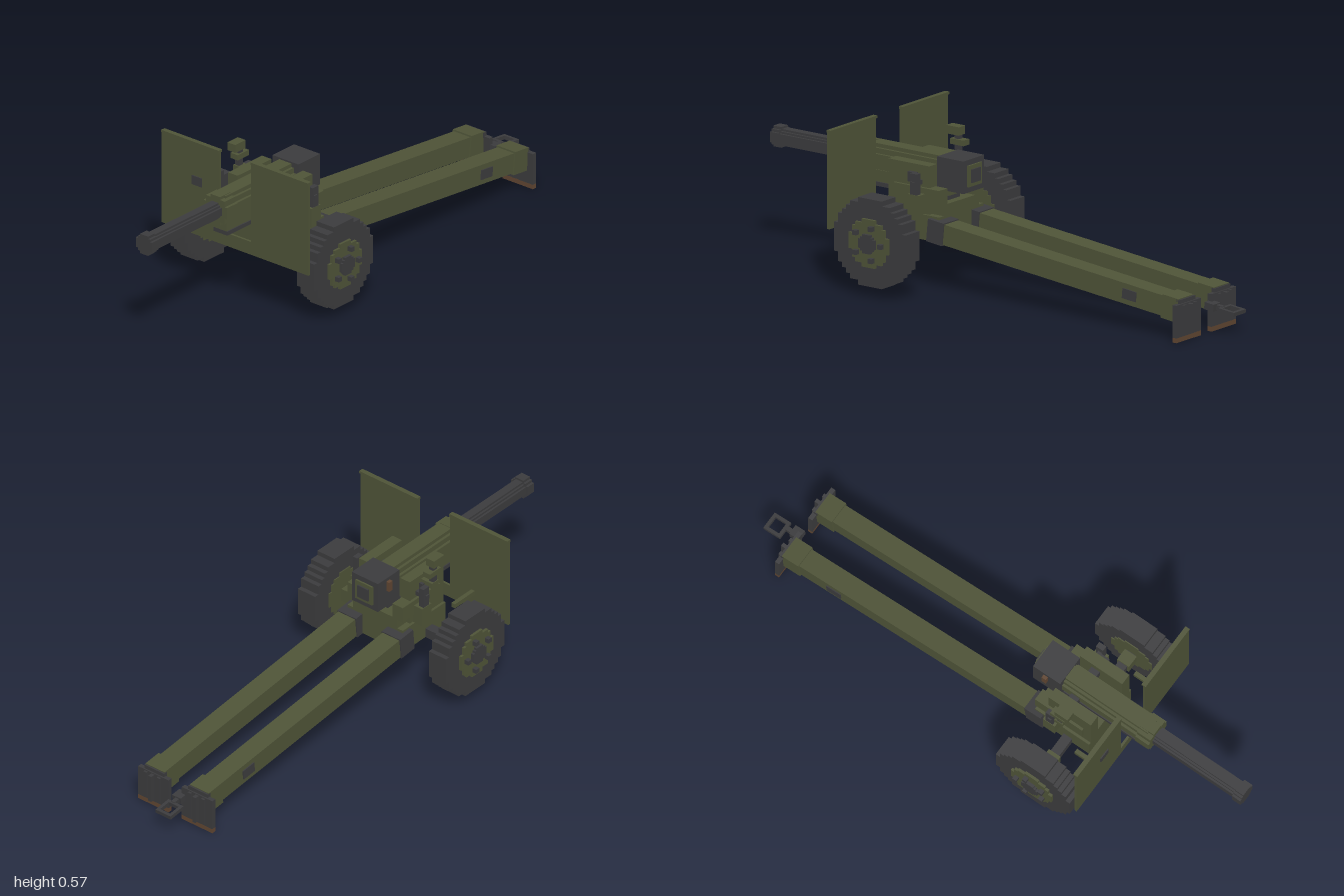
import * as THREE from 'three';

const paint = (name, color) => {
  const m = new THREE.MeshStandardMaterial({ color });
  m.name = name;
  return m;
};

export function createModel() {
  const green = paint('olive green', 0x4f5438);
  const dark = paint('dark steel', 0x3c3c3e);
  const brown = paint('brown wood', 0x604632);
  const model = new THREE.Group();
  model.name = 'fieldGun';

  const add = (parent, name, geometry, material) => {
    const mesh = new THREE.Mesh(geometry, material);
    mesh.name = name;
    parent.add(mesh);
    return mesh;
  };
  // Box given by its limits on each axis
  const box = (parent, name, material, [x0, x1], [y0, y1], [z0, z1]) => {
    const mesh = add(parent, name, new THREE.BoxGeometry(Math.abs(x1 - x0), y1 - y0, z1 - z0), material);
    mesh.position.set((x0 + x1) / 2, (y0 + y1) / 2, (z0 + z1) / 2);
    return mesh;
  };
  // Round disc with a stepped, blocky outline, extruded along z
  const steppedDisc = (radius, steps, depth) => {
    const u = radius / steps;
    const right = [];
    for (let i = -steps; i < steps; i++) {
      const mid = (i + 0.5) * u;
      const half = Math.round(Math.sqrt(radius * radius - mid * mid) / u) * u;
      right.push([half, i * u], [half, (i + 1) * u]);
    }
    const left = right.map(([x, y]) => [-x, y]).reverse();
    const shape = new THREE.Shape([...right, ...left].map(([x, y]) => new THREE.Vector2(x, y)));
    return new THREE.ExtrudeGeometry(shape, { depth, bevelEnabled: false });
  };

  // Gun: barrel, jacket, breech and recoil slide
  const gun = new THREE.Group();
  gun.name = 'gun';
  model.add(gun);
  const tube = (name, material, radius, steps, z0, z1) => {
    add(gun, name, steppedDisc(radius, steps, z1 - z0), material).position.set(0, 0.403, z0);
  };
  tube('barrel', dark, 0.03, 4, 0.6, 0.975);
  tube('muzzle', dark, 0.037, 4, 0.965, 1);
  tube('jacketCollar', green, 0.054, 5, 0.565, 0.622);
  tube('jacket', green, 0.048, 5, 0.24, 0.57);
  box(gun, 'jacketTopRail', green, [-0.028, 0.028], [0.44, 0.455], [0.24, 0.6]);
  box(gun, 'recoilSlide', green, [-0.028, 0.028], [0.318, 0.36], [0.22, 0.595]);
  box(gun, 'slideRail', dark, [-0.032, 0.032], [0.303, 0.318], [0.22, 0.595]);
  box(gun, 'breech', dark, [-0.059, 0.059], [0.344, 0.461], [0.135, 0.25]);
  box(gun, 'breechFrame', green, [-0.038, 0.038], [0.365, 0.441], [0.128, 0.137]);
  box(gun, 'breechBlock', dark, [-0.024, 0.024], [0.379, 0.427], [0.122, 0.13]);
  box(gun, 'breechHandle', brown, [-0.072, -0.059], [0.41, 0.448], [0.18, 0.198]);
  box(gun, 'trunnion', dark, [-0.13, 0.13], [0.375, 0.41], [0.29, 0.325]);

  // Carriage body and axle
  const carriage = new THREE.Group();
  carriage.name = 'carriage';
  model.add(carriage);
  box(carriage, 'body', green, [-0.125, 0.125], [0.175, 0.265], [0.19, 0.42]);
  box(carriage, 'bodyTop', green, [-0.1, 0.1], [0.262, 0.304], [0.19, 0.42]);
  box(carriage, 'axle', dark, [-0.27, 0.27], [0.175, 0.211], [0.312, 0.348]);

  // Shield centre strip
  const shield = new THREE.Group();
  shield.name = 'shield';
  model.add(shield);
  box(shield, 'shieldCentre', green, [-0.072, 0.072], [0.215, 0.264], [0.508, 0.517]);
  box(shield, 'sightHatch', dark, [-0.195, -0.15], [0.405, 0.439], [0.514, 0.521]);

  for (const s of [1, -1]) {
    const side = s > 0 ? 'left' : 'right';
    const X = (a, b) => [s * a, s * b];

    // Cheeks, axle sleeves and hand wheels
    box(carriage, side + 'Cheek', green, X(0.072, 0.115), [0.25, 0.438], [0.24, 0.42]);
    box(carriage, side + 'CheekCap', green, X(0.078, 0.125), [0.3, 0.36], [0.19, 0.39]);
    box(carriage, side + 'AxleSleeve', green, X(0.203, 0.25), [0.167, 0.215], [0.305, 0.355]);
    box(carriage, side + 'CrankShaft', dark, X(0.11, 0.165), [0.37, 0.386], [0.27, 0.286]);
    box(carriage, side + 'HandWheel', dark, X(0.14, 0.16), [0.34, 0.415], [0.26, 0.29]);
    box(carriage, side + 'GearBox', green, X(0.12, 0.162), [0.27, 0.34], [0.25, 0.3]);

    // Shield plate, lip and strut
    box(shield, side + 'ShieldPlate', green, X(0.072, 0.335), [0.215, 0.562], [0.508, 0.517]);
    box(shield, side + 'ShieldLip', green, X(0.072, 0.335), [0.56, 0.569], [0.502, 0.52]);
    box(shield, side + 'ShieldStrut', green, X(0.168, 0.184), [0.275, 0.292], [0.4, 0.51]);

    // Wheel built along its own z, then turned outward
    const wheel = new THREE.Group();
    wheel.name = side + 'Wheel';
    wheel.position.set(s * 0.257, 0.195, 0.33);
    wheel.rotation.y = s * Math.PI / 2;
    model.add(wheel);
    add(wheel, 'tyre', steppedDisc(0.157, 9, 0.078), dark);
    add(wheel, 'rim', steppedDisc(0.086, 6, 0.092), green).position.z = -0.004;
    add(wheel, 'hub', steppedDisc(0.034, 4, 0.1), dark);
    for (let i = 0; i < 5; i++) {
      const a = i * Math.PI * 2 / 5;
      const bolt = add(wheel, 'bolt', new THREE.BoxGeometry(0.017, 0.017, 0.02), dark);
      bolt.position.set(s * 0.06 * Math.cos(a), 0.06 * Math.sin(a), 0.095);
    }

    // Trail leg: sloping beam with its hinge, end collar and side latch
    const trail = new THREE.Group();
    trail.name = side + 'Trail';
    trail.position.set(s * 0.1, 0.214, 0.19);
    trail.rotation.x = -0.1;
    model.add(trail);
    box(trail, 'beam', green, [-0.038, 0.038], [-0.037, 0.037], [-1.06, 0.03]);
    box(trail, 'hinge', dark, [-0.042, 0.042], [-0.041, 0.041], [-0.03, 0.04]);
    box(trail, 'endCollar', green, [-0.043, 0.043], [-0.043, 0.043], [-1.065, -0.995]);
    box(trail, 'latch', dark, X(0.036, 0.042), [-0.018, 0.018], [-0.88, -0.82]);

    // Spade with wooden foot and ribs
    const spade = new THREE.Group();
    spade.name = side + 'Spade';
    model.add(spade);
    box(spade, 'spadePlate', dark, X(0.03, 0.168), [0.017, 0.134], [-0.885, -0.868]);
    box(spade, 'spadeFoot', brown, X(0.03, 0.168), [0, 0.018], [-0.885, -0.868]);
    box(spade, 'spadeTop', dark, X(0.055, 0.143), [0.13, 0.148], [-0.88, -0.864]);
    for (const x of [0.07, 0.1, 0.13]) {
      box(spade, 'spadeRib', dark, X(x - 0.007, x + 0.007), [0.025, 0.13], [x === 0.1 ? -0.903 : -0.893, -0.88]);
    }
  }

  // Aiming sight
  const sight = new THREE.Group();
  sight.name = 'sight';
  model.add(sight);
  box(sight, 'sightBracket', green, [-0.165, -0.11], [0.4, 0.422], [0.3, 0.335]);
  box(sight, 'sightPost', dark, [-0.162, -0.142], [0.41, 0.49], [0.31, 0.33]);
  box(sight, 'sightCollar', green, [-0.168, -0.136], [0.45, 0.47], [0.285, 0.345]);
  box(sight, 'sightHead', green, [-0.17, -0.134], [0.485, 0.515], [0.305, 0.36]);

  // Towing eye: square ring on a short arm
  const eye = new THREE.Group();
  eye.name = 'towingEye';
  eye.position.set(-0.042, 0.095, -0.88);
  eye.rotation.x = -0.1;
  model.add(eye);
  box(eye, 'arm', dark, [0.002, 0.018], [-0.009, 0.009], [-0.055, 0.01]);
  box(eye, 'armMount', dark, [-0.005, 0.034], [-0.013, 0.013], [-0.03, 0.01]);
  for (const x of [-0.028, 0.028]) box(eye, 'ringSide', dark, [x - 0.006, x + 0.006], [-0.007, 0.007], [-0.12, -0.05]);
  for (const z of [-0.114, -0.056]) box(eye, 'ringEnd', dark, [-0.028, 0.028], [-0.007, 0.007], [z - 0.006, z + 0.006]);

  return model;
}
